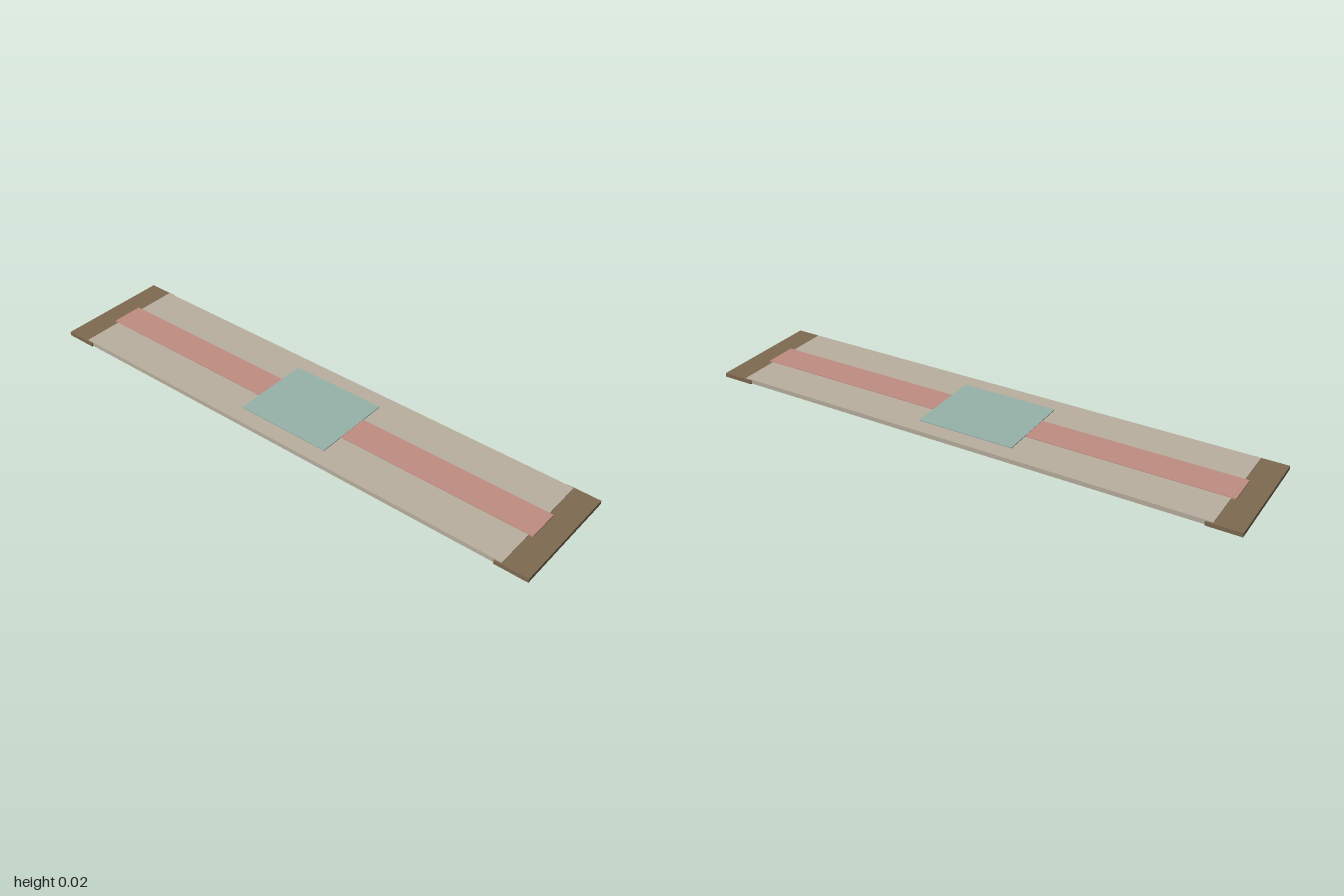
import * as THREE from 'three';

const material = (name, color) => {
  const m = new THREE.MeshStandardMaterial({ color });
  m.name = name;
  return m;
};

export function createModel() {
  const group = new THREE.Group();
  group.name = 'runnerPanel';

  const stone = material('pale stone', 0xbab09f);
  const brown = material('dark brown', 0x7e6a50);
  const rose = material('dusty rose', 0xc08d82);
  const teal = material('muted teal', 0x97b2a9);

  // Box spanning x0..x1 and y0..y1, with z mirrored about the centre
  const slab = (name, mat, x0, x1, y0, y1, halfZ) => {
    const mesh = new THREE.Mesh(new THREE.BoxGeometry(x1 - x0, y1 - y0, halfZ * 2), mat);
    mesh.position.set((x0 + x1) / 2, (y0 + y1) / 2, 0);
    mesh.name = name;
    group.add(mesh);
  };

  // Main panel, resting over the inner edges of the end caps
  slab('panel', stone, -0.905, 0.905, 0.002, 0.0185, 0.2125);

  // End caps, slightly wider and lower than the panel
  slab('leftEndCap', brown, 0.88, 1, 0.001, 0.0155, 0.2175);
  slab('rightEndCap', brown, -1, -0.88, 0.001, 0.0155, 0.2175);

  // Long stripe, showing on the top and on the underside
  slab('centreStripe', rose, -0.92, 0.92, 0, 0.0205, 0.061);

  // Thin square plate in the middle
  slab('centrePlate', teal, -0.182, 0.182, 0.0185, 0.0215, 0.151);

  return group;
}
